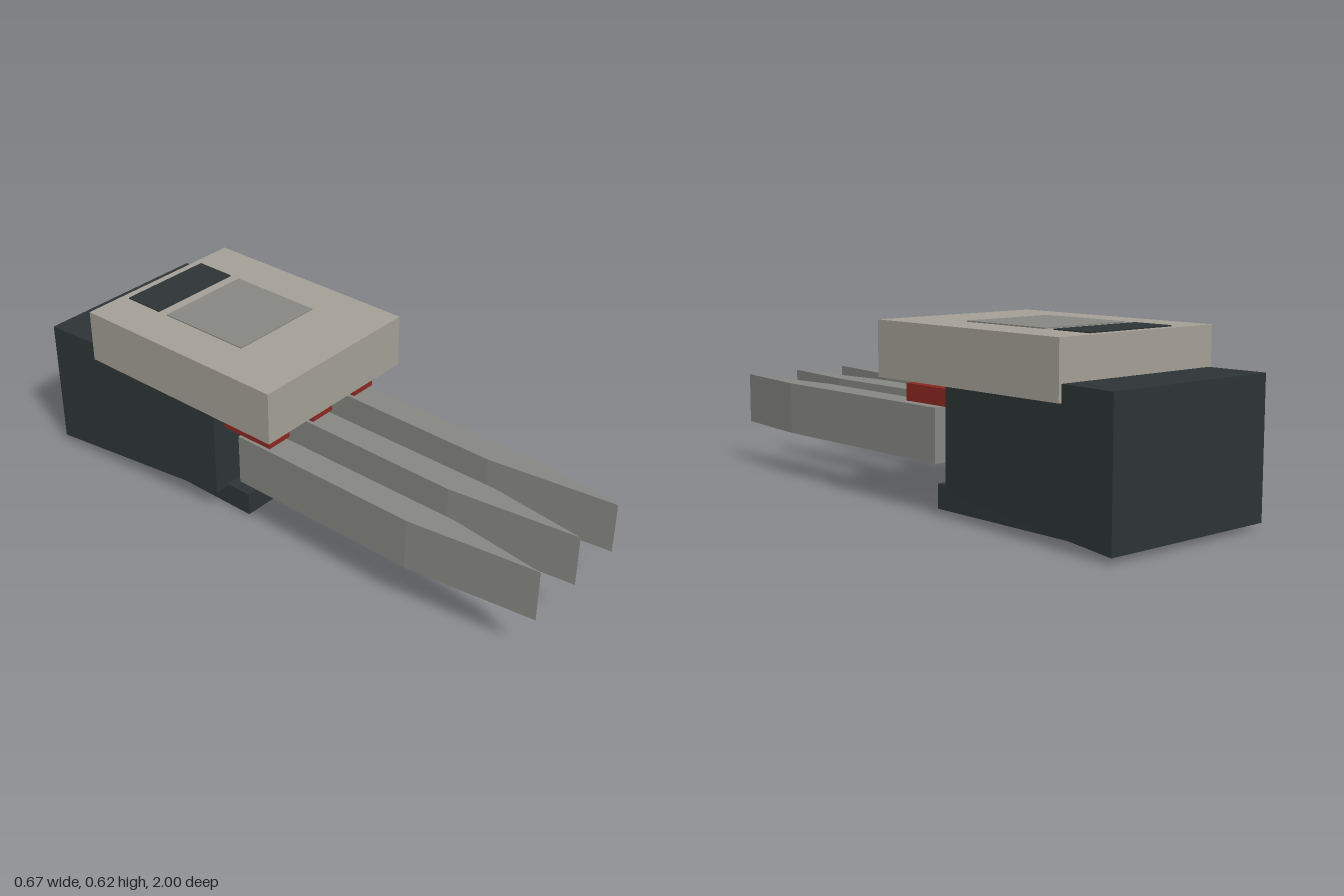
import * as THREE from 'three';

const mat = (color) => new THREE.MeshStandardMaterial({ color, flatShading: true });

export function createModel() {
  const group = new THREE.Group();
  const dark = mat(0x2d3436), stone = mat(0xa39f95), steel = mat(0x858681), red = mat(0x8b2822);

  const add = (name, geometry, material) => {
    const mesh = new THREE.Mesh(geometry, material);
    mesh.name = name;
    group.add(mesh);
    return mesh;
  };
  // Box given by its extents on each axis
  const box = (name, material, [x0, x1], [y0, y1], [z0, z1]) => {
    const mesh = add(name, new THREE.BoxGeometry(x1 - x0, y1 - y0, z1 - z0), material);
    mesh.position.set((x0 + x1) / 2, (y0 + y1) / 2, (z0 + z1) / 2);
    return mesh;
  };

  // Housing: a box whose front is narrower and has a raised lower edge
  const housing = new THREE.BoxGeometry(2, 2, 2);
  const p = housing.attributes.position;
  for (let i = 0; i < p.count; i++) {
    const front = p.getZ(i) > 0;
    p.setXYZ(i,
      p.getX(i) * (front ? 0.293 : 0.333),
      p.getY(i) > 0 ? 0.48 : front ? 0.08 : 0.019,
      front ? -0.25 : -1);
  }
  housing.computeVertexNormals();
  add('housing', housing, dark);

  // Upper block and lower plate
  box('topBlock', stone, [-0.333, 0.333], [0.425, 0.612], [-0.79, 0.04]);
  box('basePlate', dark, [-0.24, 0.24], [0.005, 0.088], [-0.79, -0.15]);

  // Thin inset panels on the top and on the underside
  for (const [side, y] of [['top', [0.605, 0.616]], ['bottom', [0, 0.012]]]) {
    box(side + 'LargePanel', steel, [-0.178, 0.178], y, [-0.57, -0.22]);
    box(side + 'SmallPanel', dark, [-0.178, 0.178], y, [-0.76, -0.61]);
  }

  // Pointed blades, each with a red block above its root
  const outline = [[-0.05, -0.16], [0.045, -0.16], [0.041, 0.66], [0, 1], [-0.057, 0.55]];
  const shape = new THREE.Shape(outline.map(([x, z]) => new THREE.Vector2(x, z)));
  const bladeGeometry = new THREE.ExtrudeGeometry(shape, { depth: 0.182, bevelEnabled: false });
  bladeGeometry.rotateX(Math.PI / 2).translate(0, 0.338, 0);
  [['right', -0.218], ['middle', -0.001], ['left', 0.216]].forEach(([side, x]) => {
    add(side + 'Blade', bladeGeometry, steel).position.x = x;
    box(side + 'RedBlock', red, [x - 0.049, x + 0.048], [0.347, 0.405], [-0.225, -0.02]);
  });

  return group;
}
